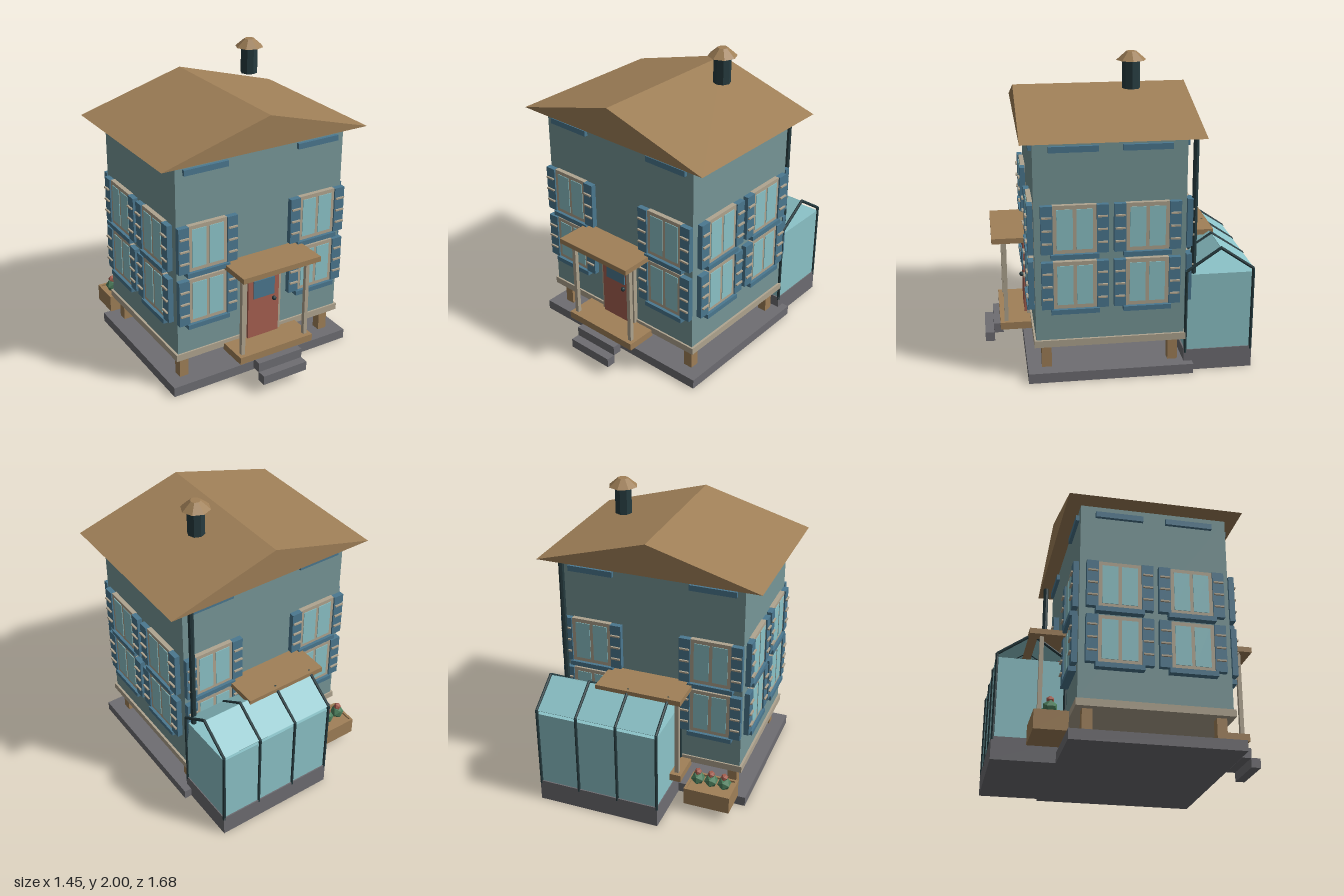
import * as THREE from 'three';

const mat = (name, color, extra = {}) => {
  const m = new THREE.MeshStandardMaterial({ color, flatShading: true, ...extra });
  m.name = name;
  return m;
};

export function createModel() {
  const wall = mat('wall teal', 0x779798);
  const wood = mat('wood brown', 0xa08058);
  const glass = mat('glass', 0x8cc3c8, { side: THREE.DoubleSide });
  const blue = mat('shutter blue', 0x4b7890);
  const trim = mat('trim beige', 0xb0a590);
  const stone = mat('stone grey', 0x6e6d72);
  const metal = mat('dark metal', 0x263b3f);
  const red = mat('door red', 0xa65f50);
  const green = mat('plant green', 0x4d7f5d);

  const model = new THREE.Group();
  model.name = 'house';

  const add = (parent, name, geo, m, x = 0, y = 0, z = 0) => {
    const mesh = new THREE.Mesh(geo, m);
    mesh.name = name;
    mesh.position.set(x, y, z);
    parent.add(mesh);
    return mesh;
  };
  // Box given by its ranges along x, y and z
  const box = (parent, name, m, x0, x1, y0, y1, z0, z1) =>
    add(parent, name, new THREE.BoxGeometry(x1 - x0, y1 - y0, z1 - z0), m,
      (x0 + x1) / 2, (y0 + y1) / 2, (z0 + z1) / 2);
  // Round bar between two points
  const bar = (parent, name, m, a, b, r) => {
    const dir = b.clone().sub(a);
    const mesh = add(parent, name, new THREE.CylinderGeometry(r, r, dir.length(), 8), m);
    mesh.position.copy(a).lerp(b, 0.5);
    mesh.quaternion.setFromUnitVectors(new THREE.Vector3(0, 1, 0), dir.normalize());
    return mesh;
  };
  const group = (parent, name, x = 0, y = 0, z = 0, turn = 0) => {
    const g = new THREE.Group();
    g.name = name;
    g.position.set(x, y, z);
    g.rotation.y = turn;
    parent.add(g);
    return g;
  };

  // Foundation, stilts, floor and walls
  const midZ = 0.07, halfW = 0.6, halfD = 0.465;
  box(model, 'foundationSlab', stone, -0.66, 0.66, 0, 0.065, -0.45, 0.59);
  for (const x of [-0.54, 0.54])
    for (const z of [-0.33, 0.47])
      box(model, 'stilt', wood, x - 0.031, x + 0.031, 0.01, 0.225, z - 0.031, z + 0.031);
  box(model, 'floorTrim', trim, -0.615, 0.615, 0.22, 0.265, -0.405, 0.547);
  box(model, 'walls', wall, -halfW, halfW, 0.265, 1.552, midZ - halfD, midZ + halfD);

  // Gabled roof
  const gable = new THREE.Shape([
    new THREE.Vector2(-0.725, 1.548), new THREE.Vector2(0.725, 1.548), new THREE.Vector2(0, 1.755)]);
  add(model, 'roof', new THREE.ExtrudeGeometry(gable, { depth: 1.1, bevelEnabled: false }), wood, 0, 0, -0.487);

  // Chimney with cap
  add(model, 'chimneyPipe', new THREE.CylinderGeometry(0.055, 0.055, 0.18, 8), metal, 0.3, 1.865, -0.095);
  add(model, 'chimneyCap', new THREE.CylinderGeometry(0.032, 0.092, 0.052, 8), wood, 0.3, 1.974, -0.095);

  // Window with shutters; local z = 0 is the wall surface
  const addWindow = (parent, x, y) => {
    const g = group(parent, 'window', x, y);
    box(g, 'windowFrame', trim, -0.133, 0.133, -0.152, 0.152, -0.005, 0.03);
    for (const s of [-1, 1]) {
      box(g, 'windowPane', glass, s * 0.06 - 0.049, s * 0.06 + 0.049, -0.127, 0.127, 0.028, 0.034);
      box(g, 'shutter', blue, s * 0.169 - 0.036, s * 0.169 + 0.036, -0.152, 0.152, 0.005, 0.04);
      for (const sy of [-0.082, 0, 0.082])
        box(g, 'shutterSlat', trim, s * 0.169 - 0.03, s * 0.169 + 0.03, sy - 0.005, sy + 0.005, 0.035, 0.052);
    }
    box(g, 'windowSill', blue, -0.148, 0.148, -0.185, -0.154, 0, 0.048);
  };

  // Four facades, each with two columns of windows under a vent
  const facades = [
    ['front', 0, midZ + halfD, 0, 0.4], ['back', 0, midZ - halfD, Math.PI, 0.4],
    ['left', halfW, midZ, Math.PI / 2, 0.222], ['right', -halfW, midZ, -Math.PI / 2, 0.222]];
  for (const [side, x, z, turn, offset] of facades) {
    const f = group(model, side + 'Facade', x, 0, z, turn);
    for (const s of [-1, 1]) {
      box(f, 'eaveVent', blue, s * offset - 0.15, s * offset + 0.15, 1.468, 1.505, 0, 0.022);
      for (const y of [0.995, 0.637]) addWindow(f, s * offset, y);
    }
  }

  // Front and back porches with doors; local z = 0 is the wall surface
  for (const [side, z, turn] of [['front', midZ + halfD, 0], ['back', midZ - halfD, Math.PI]]) {
    const p = group(model, side + 'Porch', 0, 0, z, turn);
    box(p, 'porchFloor', wood, -0.272, 0.272, 0.195, 0.243, 0.005, 0.21);
    box(p, 'porchRoof', wood, -0.283, 0.283, 0.793, 0.828, 0, 0.25);
    for (const x of [-0.236, 0.236])
      box(p, 'porchPost', trim, x - 0.013, x + 0.013, 0.243, 0.793, 0.157, 0.183);
    box(p, 'doorFrame', trim, -0.14, 0.14, 0.243, 0.775, 0, 0.03);
    box(p, 'door', red, -0.115, 0.115, 0.245, 0.742, 0.02, 0.045);
    box(p, 'doorWindow', blue, -0.078, 0.078, 0.527, 0.652, 0.043, 0.052);
    add(p, 'doorKnob', new THREE.IcosahedronGeometry(0.015, 1), metal, 0.072, 0.497, 0.058);
  }

  // Front steps
  box(model, 'upperStep', stone, -0.162, 0.162, 0.125, 0.19, 0.725, 0.787);
  box(model, 'lowerStep', stone, -0.162, 0.162, 0.065, 0.127, 0.783, 0.845);

  // Greenhouse: base, glass walls, two roof panes and four metal frames
  const gh = group(model, 'greenhouse');
  const x0 = -0.197, x1 = 0.605, zIn = -0.405, zOut = -0.83, zTop = -0.618;
  box(gh, 'greenhouseBase', stone, -0.203, 0.611, 0, 0.142, -0.838, -0.396);
  box(gh, 'greenhouseWalls', glass, x0, x1, 0.14, 0.652, zOut, zIn);
  for (const [name, z] of [['innerRoofPane', zIn], ['outerRoofPane', zOut]]) {
    const run = z - zTop, rise = 0.815 - 0.675;
    const pane = add(gh, name, new THREE.BoxGeometry(x1 - x0, 0.005, Math.hypot(run, rise)), glass,
      (x0 + x1) / 2, 0.745, (z + zTop) / 2);
    pane.rotation.x = Math.atan2(rise, run > 0 ? run : -run) * Math.sign(run);
  }
  for (let i = 0; i < 4; i++) {
    const x = x0 + (x1 - x0) * i / 3;
    const peak = new THREE.Vector3(x, 0.821, zTop);
    for (const z of [zIn, zOut]) {
      const eave = new THREE.Vector3(x, 0.675, z);
      bar(gh, 'framePost', metal, new THREE.Vector3(x, 0.122, z), eave, 0.01);
      bar(gh, 'frameRafter', metal, eave, peak, 0.01);
    }
    add(gh, 'framePeak', new THREE.IcosahedronGeometry(0.011, 0), metal, x, 0.821, zTop);
  }

  // Drainpipe
  bar(model, 'drainpipe', metal, new THREE.Vector3(0.575, 0.1, -0.45), new THREE.Vector3(0.575, 1.55, -0.45), 0.018);

  // Planter box with three flowering plants
  const planter = group(model, 'planter', -0.457, 0, -0.54);
  box(planter, 'planterBed', wood, -0.14, 0.14, 0.065, 0.17, -0.09, 0.09);
  for (const s of [-1, 1]) {
    box(planter, 'planterSide', wood, s * 0.144 - 0.008, s * 0.144 + 0.008, 0.065, 0.182, -0.1, 0.1);
    box(planter, 'planterEdge', wood, -0.15, 0.15, 0.065, 0.182, s * 0.092 - 0.008, s * 0.092 + 0.008);
  }
  for (const x of [-0.088, 0, 0.088]) {
    add(planter, 'plantLeaves', new THREE.IcosahedronGeometry(0.047, 0), green, x, 0.215, 0);
    add(planter, 'plantFlower', new THREE.IcosahedronGeometry(0.026, 0), red, x, 0.262, 0);
  }

  return model;
}
